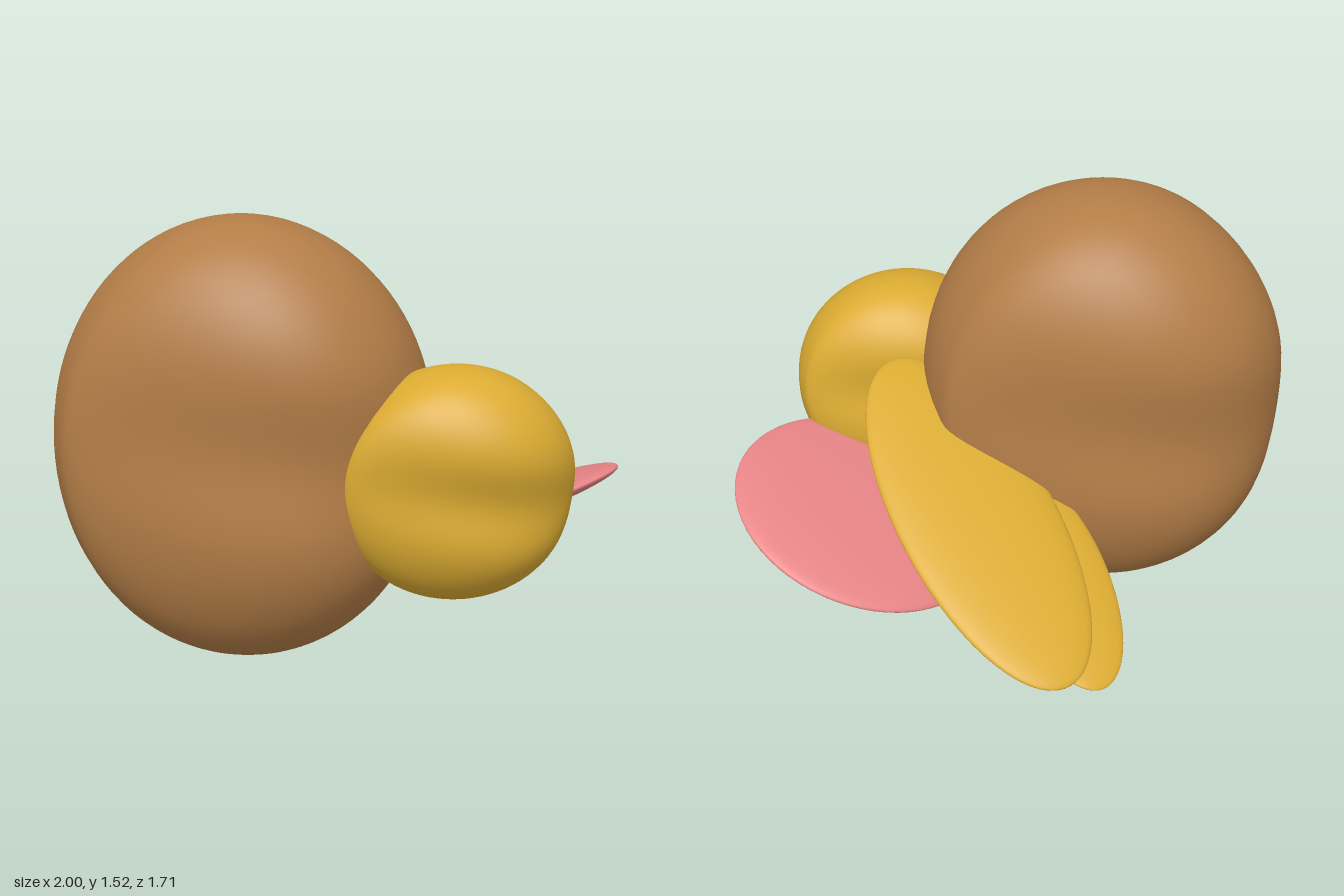
import * as THREE from 'three';
import { mergeVertices } from 'three/addons/utils/BufferGeometryUtils.js';

const material = (name, color) => {
  const m = new THREE.MeshStandardMaterial({ color });
  m.name = name;
  return m;
};

// Unit sphere whose vertices are moved by a rule, with smooth normals
function moulded(rule) {
  const g = new THREE.SphereGeometry(1, 64, 48);
  g.deleteAttribute('uv');
  g.deleteAttribute('normal');
  const p = g.attributes.position;
  const v = new THREE.Vector3();
  for (let i = 0; i < p.count; i++) {
    v.fromBufferAttribute(p, i);
    rule(v);
    p.setXYZ(i, v.x, v.y, v.z);
  }
  const merged = mergeVertices(g, 1e-5);
  merged.computeVertexNormals();
  return merged;
}

// Bean: front bulges to +x, back to -x, with a soft waist across the middle
function bean(rx, ry, depth, waist) {
  return moulded((v) => {
    const side = Math.sign(v.z) * v.x;
    const bulge = 1 + 0.38 * side - 0.2 * v.x * v.x;
    const d = (v.y + 0.1 * side - 0.02) / 0.33;
    const dip = 1 - waist * (1 - 0.3 * side) * Math.exp(-d * d);
    const full = Math.sign(v.z) * Math.pow(Math.abs(v.z), 0.87);
    v.set(v.x * rx, v.y * ry, full * depth * bulge * dip);
  });
}

// Thin oval leaf: turned in plan, then sloped by height gradients along x and z
function leaf(rx, rz, thick, turn, gx, gz) {
  const c = Math.cos(turn), s = Math.sin(turn);
  return moulded((v) => {
    const x = v.x * rx * c + v.z * rz * s;
    const z = v.z * rz * c - v.x * rx * s;
    v.set(x, v.y * thick + gx * x + gz * z, z);
  });
}

export function createModel() {
  const model = new THREE.Group();
  const brown = material('brown', 0xb37d47);
  const yellow = material('yellow', 0xdbab32);
  const pink = material('pink', 0xe78486);

  const add = (name, geometry, mat, x, y, z) => {
    const mesh = new THREE.Mesh(geometry, mat);
    mesh.name = name;
    mesh.position.set(x, y, z);
    model.add(mesh);
    return mesh;
  };

  // Rounded bodies
  add('largeBody', bean(0.64, 0.76, 0.55, 0.13), brown, -0.36, 0.76, 0.065);
  const small = add('smallBody', bean(0.4, 0.395, 0.3, 0.18), yellow, 0.203, 0.677, 0.56);
  small.rotation.x = 0.1;

  // Yellow flap with its lower lobe
  add('yellowFlap', leaf(0.29, 0.6, 0.055, 0.06, 0.05, 0.51), yellow, 0.29, 0.575, -0.25);
  add('yellowFlapLobe', leaf(0.19, 0.37, 0.035, -0.1, 0.1, 0.53), yellow, 0.1, 0.41, -0.49);

  // Pink flap with its lower lobe
  add('pinkFlap', leaf(0.45, 0.41, 0.055, 0, 0.25, 0.38), pink, 0.55, 0.415, 0.15);
  add('pinkFlapLobe', leaf(0.2, 0.18, 0.035, 0.4, 0.15, 0.15), pink, 0.31, 0.25, -0.04);

  return model;
}
